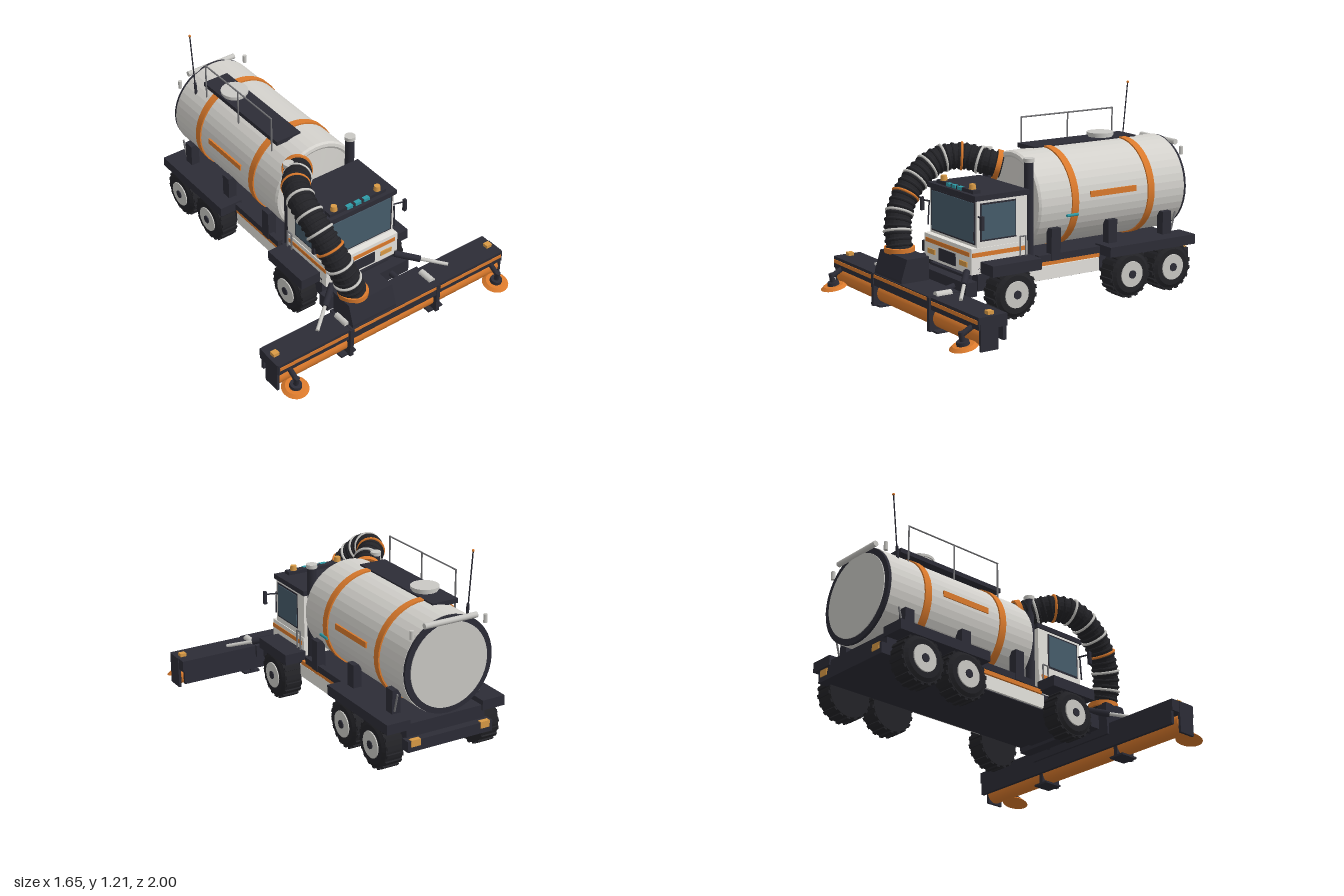
import * as THREE from 'three';

const mat = (name, color, extra = {}) => Object.assign(new THREE.MeshStandardMaterial({ color, ...extra }), { name });

export function createModel() {
  const root = new THREE.Group();
  root.name = 'sweeperTruck';
  const white = mat('white paint', 0xe4e2dd);
  const tankMat = mat('tank grey', 0xd3d1cc, { flatShading: true });
  const dark = mat('dark panel', 0x2c2c36);
  const rubber = mat('black rubber', 0x232327, { flatShading: true });
  const orange = mat('orange', 0xdb7a2c);
  const glass = mat('blue glass', 0x465c6b);
  const amber = mat('amber lamp', 0xd99a45);
  const teal = mat('teal', 0x2e9aa6);
  const steel = mat('steel', 0xc9c8c4);
  const grey = mat('rail grey', 0x77777a);

  const V = (x, y, z) => new THREE.Vector3(x, y, z);
  const add = (name, geo, m, x = 0, y = 0, z = 0, parent = root) => {
    const mesh = new THREE.Mesh(geo, m);
    mesh.name = name;
    mesh.position.set(x, y, z);
    parent.add(mesh);
    return mesh;
  };
  // box given by its x, y and z ranges
  const box = (name, m, x0, x1, y0, y1, z0, z1, parent) =>
    add(name, new THREE.BoxGeometry(x1 - x0, y1 - y0, z1 - z0), m, (x0 + x1) / 2, (y0 + y1) / 2, (z0 + z1) / 2, parent);
  const boxes = (name, m, x0, x1, ...r) => {
    box(name + 'Left', m, x0, x1, ...r);
    box(name + 'Right', m, -x1, -x0, ...r);
  };
  const aim = (o, dir, from = V(0, 1, 0)) => o.quaternion.setFromUnitVectors(from, dir.clone().normalize());
  const rod = (name, m, a, b, r, n = 10) => {
    const d = b.clone().sub(a), c = a.clone().add(b).multiplyScalar(0.5);
    const o = add(name, new THREE.CylinderGeometry(r, r, d.length(), n), m, c.x, c.y, c.z);
    aim(o, d);
    return o;
  };

  // Chassis
  box('chassis', dark, -0.26, 0.26, 0.165, 0.3, -0.95, 0.52);
  boxes('sidePanel', white, 0.255, 0.275, 0.17, 0.25, -0.32, 0.2);
  boxes('sideStripe', orange, 0.255, 0.28, 0.255, 0.28, -0.32, 0.18);
  boxes('sideRail', dark, 0.25, 0.285, 0.28, 0.32, -0.32, 0.12);
  boxes('rearFender', dark, 0.24, 0.39, 0.27, 0.33, -0.96, -0.32);
  boxes('frontFender', dark, 0.255, 0.39, 0.27, 0.335, 0.17, 0.5);
  box('rearBumper', dark, -0.28, 0.28, 0.155, 0.22, -1, -0.94);
  boxes('rearLamp', amber, 0.2, 0.26, 0.185, 0.225, -1.004, -0.975);
  box('frontBumper', dark, -0.3, 0.3, 0.15, 0.235, 0.55, 0.625);
  box('frontMount', dark, -0.2, 0.2, 0.17, 0.25, 0.5, 0.56);

  // Wheels with tread blocks, rim and hub
  for (const s of [-1, 1]) for (const z of [0.34, -0.48, -0.79]) {
    const w = new THREE.Group();
    w.name = 'wheel';
    w.position.set(s * 0.32, 0.148, z);
    w.rotation.z = -s * Math.PI / 2;
    root.add(w);
    add('tyre', new THREE.CylinderGeometry(0.138, 0.138, 0.11, 28), rubber, 0, 0, 0, w);
    add('tyreShoulder', new THREE.CylinderGeometry(0.112, 0.132, 0.012, 28), rubber, 0, 0.061, 0, w);
    for (let i = 0; i < 18; i++) {
      const a = i * Math.PI / 9;
      const b = add('treadBlock', new THREE.BoxGeometry(0.02, 0.105, 0.022), rubber, Math.cos(a) * 0.138, 0, Math.sin(a) * 0.138, w);
      b.rotation.y = -a;
    }
    add('rim', new THREE.CylinderGeometry(0.078, 0.08, 0.01, 24), steel, 0, 0.068, 0, w);
    add('hub', new THREE.CylinderGeometry(0.025, 0.025, 0.014, 14), dark, 0, 0.072, 0, w);
  }

  // Tank
  const ty = 0.605, R = 0.288;
  const along = (name, geo, m, z) => {
    const o = add(name, geo, m, 0, ty, z);
    o.rotation.x = Math.PI / 2;
    return o;
  };
  const profile = [[0, -0.95], [R, -0.95], [R, 0.1], [0.28, 0.115], [0.262, 0.118], [0.25, 0.112], [0, 0.13]];
  along('tank', new THREE.LatheGeometry(profile.map(p => new THREE.Vector2(...p)), 40), tankMat, 0);
  for (const z of [-0.135, -0.693])
    along('tankBand', new THREE.CylinderGeometry(0.297, 0.297, 0.046, 40), orange, z);
  along('rearDoorRing', new THREE.CylinderGeometry(0.285, 0.285, 0.025, 40), dark, -0.955);
  along('rearDoor', new THREE.CylinderGeometry(0.25, 0.25, 0.012, 40), steel, -0.967);
  rod('rearDoorBar', steel, V(-0.17, 0.865, -0.975), V(0.17, 0.865, -0.975), 0.017);
  boxes('tankStripe', orange, 0.28, 0.293, 0.625, 0.66, -0.58, -0.245);
  rod('valveHandle', teal, V(0.29, 0.535, -0.075), V(0.29, 0.535, -0.155), 0.009);
  for (const z of [0, -0.41, -0.82]) boxes('tankSaddle', dark, 0.235, 0.29, 0.28, 0.47, z - 0.032, z + 0.032);
  for (const s of [-1, 1]) {
    rod('rearGrabRail', grey, V(s * 0.28, 0.35, -0.86), V(s * 0.28, 0.46, -0.89), 0.006);
    rod('rearMarkerPost', steel, V(s * 0.24, 0.8, -0.96), V(s * 0.24, 0.85, -0.96), 0.012);
  }

  // Walkway, hatch, railing and aerial
  box('walkway', dark, -0.17, 0, 0.875, 0.902, -0.797, -0.04);
  add('hatch', new THREE.CylinderGeometry(0.075, 0.075, 0.03, 28), steel, -0.087, 0.905, -0.59);
  add('hatchLid', new THREE.CylinderGeometry(0.083, 0.083, 0.016, 28), steel, -0.087, 0.922, -0.59);
  for (const z of [-0.075, -0.413, -0.752]) rod('railPost', grey, V(-0.182, 0.82, z), V(-0.182, 1.055, z), 0.005, 6);
  rod('railTop', grey, V(-0.182, 1.052, -0.072), V(-0.182, 1.052, -0.755), 0.005, 6);
  rod('aerial', dark, V(-0.2, 0.81, -0.845), V(-0.2, 1.2, -0.885), 0.004, 6);
  rod('aerialBase', dark, V(-0.2, 0.8, -0.844), V(-0.2, 0.88, -0.85), 0.009, 8);
  add('aerialTip', new THREE.SphereGeometry(0.008, 8, 6), orange, -0.2, 1.2, -0.885);

  // Cab
  box('cabLower', white, -0.26, 0.26, 0.265, 0.415, 0.18, 0.56);
  box('cabUpper', white, -0.255, 0.255, 0.4, 0.69, 0.18, 0.52);
  box('cabRoof', dark, -0.262, 0.262, 0.685, 0.715, 0.17, 0.535);
  box('windscreenFrame', dark, -0.24, 0.24, 0.43, 0.68, 0.515, 0.524);
  box('windscreen', glass, -0.228, 0.228, 0.44, 0.67, 0.52, 0.528);
  boxes('sideWindowFrame', dark, 0.25, 0.258, 0.45, 0.67, 0.257, 0.5);
  boxes('sideWindow', glass, 0.254, 0.262, 0.46, 0.66, 0.265, 0.49);
  box('cabFrontStripe', orange, -0.24, 0.24, 0.367, 0.392, 0.555, 0.564);
  boxes('cabSideStripe', orange, 0.256, 0.264, 0.365, 0.39, 0.2, 0.556);
  box('grille', dark, -0.09, 0.09, 0.283, 0.355, 0.556, 0.566);
  boxes('headlamp', amber, 0.135, 0.215, 0.303, 0.332, 0.557, 0.567);
  box('lightBar', dark, -0.2, 0.2, 0.712, 0.735, 0.46, 0.51);
  for (const x of [-0.06, 0, 0.06]) box('roofLamp', teal, x - 0.02, x + 0.02, 0.717, 0.736, 0.49, 0.516);
  for (const s of [-1, 1]) {
    add('beacon', new THREE.CylinderGeometry(0.018, 0.022, 0.032, 12), amber, s * 0.155, 0.749, 0.485);
    rod('mirrorArm', dark, V(s * 0.255, 0.595, 0.51), V(s * 0.325, 0.595, 0.53), 0.005, 6);
    add('mirror', new THREE.BoxGeometry(0.018, 0.08, 0.02), dark, s * 0.328, 0.573, 0.533);
    rod('wiperRail', dark, V(s * 0.25, 0.46, 0.54), V(s * 0.25, 0.6, 0.53), 0.005, 6);
    for (const z of [0.2, 0.24]) rod('cabGrabRail', grey, V(s * 0.272, 0.335, z), V(s * 0.272, 0.45, z), 0.005, 6);
    rod('cabGrabTop', grey, V(s * 0.272, 0.45, 0.2), V(s * 0.272, 0.45, 0.24), 0.005, 6);
    rod('exhaustStack', dark, V(s * 0.22, 0.3, 0.145), V(s * 0.22, 0.87, 0.145), 0.028, 16);
    rod('exhaustCap', steel, V(s * 0.22, 0.865, 0.145), V(s * 0.22, 0.888, 0.145), 0.033, 16);
  }

  // Suction hose with ribs and clamps
  const path = new THREE.CatmullRomCurve3([
    V(-0.13, 0.785, 0.1), V(-0.18, 0.81, 0.18), V(-0.27, 0.84, 0.28), V(-0.32, 0.83, 0.4), V(-0.33, 0.77, 0.52),
    V(-0.31, 0.65, 0.65), V(-0.265, 0.49, 0.735), V(-0.21, 0.33, 0.755)]);
  add('hose', new THREE.TubeGeometry(path, 60, 0.074, 18), rubber);
  const clamp = (name, m, t, r, thick) => {
    const p = path.getPointAt(t);
    const o = add(name, new THREE.TorusGeometry(r, thick, 8, 28), m, p.x, p.y, p.z);
    aim(o, path.getTangentAt(t), V(0, 0, 1));
  };
  for (let i = 1; i < 28; i++) clamp('hoseRib', rubber, i / 28, 0.071, 0.011);
  const clampOrder = [steel, orange, steel, steel, steel, orange, steel, steel];
  clampOrder.forEach((m, i) => clamp('hoseClamp', m, 0.13 + i * 0.107, 0.079, 0.008));
  for (const t of [0.025, 0.98]) {
    const p = path.getPointAt(t);
    const f = add('hoseFlange', new THREE.CylinderGeometry(0.09, 0.09, 0.03, 28), orange, p.x, p.y, p.z);
    aim(f, t < 0.5 ? path.getTangentAt(t) : V(0, 1, 0));
  }

  // Suction nozzle box, narrower and set back at the top
  const side = new THREE.Shape([[0.69, 0.18], [0.872, 0.18], [0.87, 0.22], [0.83, 0.34], [0.685, 0.34]].map(p => new THREE.Vector2(...p)));
  const nozzle = add('suctionNozzle', new THREE.ExtrudeGeometry(side, { depth: 0.31, bevelEnabled: false }), dark, 0.005, 0, 0);
  nozzle.rotation.y = -Math.PI / 2;
  // the shape's x runs along z, so the depth runs to -x

  // Sweeping head
  boxes('headHousing', dark, 0.3, 0.82, 0.13, 0.2, 0.69, 0.87);
  box('headCentre', dark, -0.32, 0.32, 0.13, 0.203, 0.675, 0.878);
  box('headBack', dark, -0.81, 0.81, 0.05, 0.14, 0.69, 0.71);
  boxes('headStripe', orange, 0.34, 0.81, 0.16, 0.182, 0.866, 0.874);
  box('centreStripe', orange, -0.3, 0.3, 0.178, 0.197, 0.874, 0.882);
  rod('mainBrush', orange, V(-0.808, 0.076, 0.8), V(0.808, 0.076, 0.8), 0.058, 24);
  boxes('endPlate', dark, 0.808, 0.824, 0.01, 0.2, 0.75, 0.86);
  boxes('brushBracket', dark, 0.305, 0.33, 0.005, 0.2, 0.74, 0.882);
  boxes('skid', dark, 0.27, 0.375, 0, 0.012, 0.74, 0.86);
  boxes('markerLamp', amber, 0.762, 0.8, 0.2, 0.22, 0.762, 0.798);
  for (const s of [-1, 1]) {
    rod('hinge', steel, V(s * 0.31, 0.2, 0.73), V(s * 0.31, 0.2, 0.83), 0.023, 14);
    rod('liftArm', dark, V(s * 0.165, 0.2, 0.58), V(s * 0.18, 0.18, 0.71), 0.018);
    rod('ramBody', dark, V(s * 0.23, 0.28, 0.575), V(s * 0.35, 0.243, 0.67), 0.02);
    rod('ramRod', steel, V(s * 0.34, 0.246, 0.66), V(s * 0.48, 0.205, 0.77), 0.011);
    // Tilted corner brush
    const g = new THREE.Group();
    g.name = 'cornerBrush';
    g.position.set(s * 0.74, 0.037, 0.916);
    g.rotation.x = 0.2;
    root.add(g);
    add('brushDisc', new THREE.CylinderGeometry(0.06, 0.08, 0.016, 28), orange, 0, 0, 0, g);
    add('brushHub', new THREE.CylinderGeometry(0.034, 0.038, 0.022, 18), dark, 0, 0.017, 0, g);
    add('brushMotor', new THREE.CylinderGeometry(0.016, 0.016, 0.06, 12), dark, 0, 0.05, 0, g);
    rod('brushArm', dark, V(s * 0.74, 0.1, 0.925), V(s * 0.74, 0.14, 0.85), 0.016);
  }
  return root;
}
